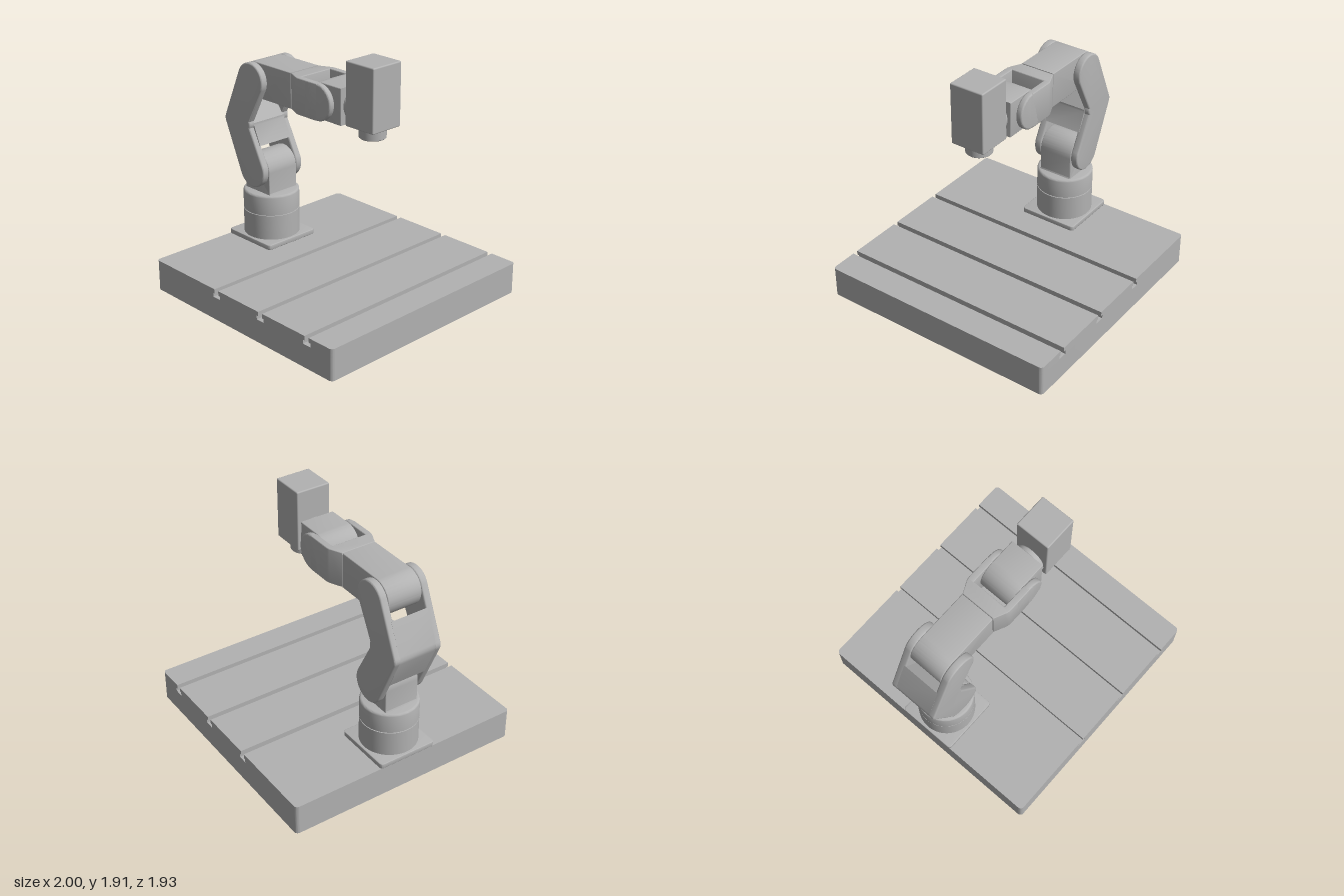
import * as THREE from 'three';
import { toCreasedNormals } from 'three/addons/utils/BufferGeometryUtils.js';
import { RoundedBoxGeometry } from 'three/addons/geometries/RoundedBoxGeometry.js';

const R = 0.14;                 // joint radius
const JX = -0.695;              // x of the base and shoulder axes
const LOW = 0.84, HIGH = 1.56;  // heights of the two joint axes

export function createModel() {
  const root = new THREE.Group();
  const grey = new THREE.MeshStandardMaterial({ color: 0xb2b2b2 });
  grey.name = 'machine grey';

  const add = (name, geometry, parent = root) => {
    const mesh = new THREE.Mesh(geometry, grey);
    mesh.name = name;
    parent.add(mesh);
    return mesh;
  };
  const group = (name) => {
    const g = new THREE.Group();
    g.name = name;
    root.add(g);
    return g;
  };

  // Side profile (x, y) pushed along z, bevelled inside its outline
  const extrudeZ = (shape, z0, z1, bevel = 0) => {
    const g = new THREE.ExtrudeGeometry(shape, {
      depth: z1 - z0 - 2 * bevel, curveSegments: 24, bevelEnabled: bevel > 0,
      bevelSize: bevel, bevelThickness: bevel, bevelOffset: -bevel, bevelSegments: 3,
    });
    g.translate(0, 0, z0 + bevel);
    return toCreasedNormals(g, 0.6);
  };
  // Plan outline (x, z) pushed up along y
  const extrudeY = (shape, y0, y1, bevel = 0) =>
    extrudeZ(shape, y0, y1, bevel).rotateX(-Math.PI / 2);
  const lathe = (pairs) => toCreasedNormals(
    new THREE.LatheGeometry(pairs.map(([r, y]) => new THREE.Vector2(r, y)), 64), 0.6);
  const polygon = (pairs) => new THREE.Shape(pairs.map(([x, y]) => new THREE.Vector2(x, y)));

  // Rectangle with separately rounded left and right corners
  const plan = (x0, x1, h, rl, rr) => {
    const s = new THREE.Shape();
    s.moveTo(x0 + rl, -h);
    s.lineTo(x1 - rr, -h);
    if (rr) s.absarc(x1 - rr, -h + rr, rr, -Math.PI / 2, 0);
    s.lineTo(x1, h - rr);
    if (rr) s.absarc(x1 - rr, h - rr, rr, 0, Math.PI / 2);
    s.lineTo(x0 + rl, h);
    if (rl) s.absarc(x0 + rl, h - rl, rl, Math.PI / 2, Math.PI);
    s.lineTo(x0, -h + rl);
    if (rl) s.absarc(x0 + rl, -h + rl, rl, Math.PI, Math.PI * 1.5);
    return s;
  };

  // Work table with three T-slots
  const table = group('table');
  const slots = [-0.213, 0.272, 0.752];
  add('tableSlab', extrudeY(plan(-0.93, 1, 0.965, 0.03, 0.03), 0, 0.18), table);
  for (const [y0, y1, half] of [[0.18, 0.21, 0.037], [0.21, 0.245, 0.021]]) {
    for (let i = 0; i <= slots.length; i++) {
      const first = i === 0, last = i === slots.length;
      const x0 = first ? -0.93 : slots[i - 1] + half;
      const x1 = last ? 1 : slots[i] - half;
      add('tableStrip', extrudeY(plan(x0, x1, 0.965, first ? 0.03 : 0, last ? 0.03 : 0), y0, y1), table);
    }
  }

  // Foot plate and turning base
  const base = group('turningBase');
  add('footPlate', extrudeY(plan(-0.935, -0.455, 0.24, 0.025, 0.025), 0.245, 0.285, 0.004), base);
  add('baseDrum', lathe([
    [0.22, 0.28], [0.22, 0.484], [0.213, 0.485], [0.213, 0.49], [0.22, 0.491],
    [0.22, 0.632], [0.2175, 0.641], [0.211, 0.6475], [0.202, 0.65], [0, 0.65],
  ]), base).position.x = JX;

  // Neck that carries the lower joint
  const neck = new THREE.Shape();
  neck.moveTo(JX - R - 0.012, 0.645);
  neck.lineTo(JX + R + 0.012, 0.645);
  neck.quadraticCurveTo(JX + R, 0.65, JX + R, 0.668);
  neck.absarc(JX, LOW - 0.01, R, 0, Math.PI);
  neck.lineTo(JX - R, 0.668);
  neck.quadraticCurveTo(JX - R, 0.65, JX - R - 0.012, 0.645);
  add('neck', extrudeZ(neck, -R, R, 0.006), base);

  // Bent link: two cheeks joined by a web at the elbow
  const link = group('bentLink');
  const tilt = 0.414;
  const cheek = new THREE.Shape();
  cheek.absarc(JX, LOW, R, Math.PI + tilt, 2 * Math.PI + tilt);
  cheek.lineTo(-0.712, 1.174);
  cheek.quadraticCurveTo(-0.7, 1.2, -0.712, 1.226);
  cheek.absarc(JX, HIGH, R, -tilt, Math.PI - tilt);
  cheek.lineTo(-0.993, 1.23);
  cheek.quadraticCurveTo(-1.007, 1.2, -0.993, 1.17);
  cheek.closePath();
  add('cheekLeft', extrudeZ(cheek, R, 0.2, 0.012), link);
  add('cheekRight', extrudeZ(cheek, -0.2, -R, 0.012), link);
  add('elbowWeb', extrudeZ(polygon([
    [-0.89, 0.932], [-0.637, 1.04], [-0.704, 1.19], [-0.704, 1.21],
    [-0.89, 1.468], [-0.993, 1.23], [-1, 1.2], [-0.993, 1.17],
  ]), -0.155, 0.155), link);

  // Bar with one round end; the round side is chosen by dir
  const roundBar = (cx, end, dir) => {
    const s = new THREE.Shape();
    const a = dir > 0 ? -Math.PI / 2 : Math.PI / 2;
    s.moveTo(end, HIGH - dir * R);
    s.lineTo(cx, HIGH - dir * R);
    s.absarc(cx, HIGH, R, a, a + Math.PI);
    s.lineTo(end, HIGH + dir * R);
    s.closePath();
    return s;
  };
  add('forearm', extrudeZ(roundBar(JX, -0.294, -1), -R, R, 0.006));

  // Wrist fork
  const fork = group('wristFork');
  const u = new THREE.Shape();
  u.moveTo(-0.29, -R);
  u.lineTo(-0.2, -0.182);
  u.quadraticCurveTo(-0.18, -0.19, -0.155, -0.19);
  for (const [x, z] of [[0.03, -0.19], [0.03, -R], [-0.173, -R], [-0.173, R], [0.03, R], [0.03, 0.19], [-0.155, 0.19]]) u.lineTo(x, z);
  u.quadraticCurveTo(-0.18, 0.19, -0.2, 0.182);
  u.lineTo(-0.29, R);
  u.closePath();
  add('forkBody', extrudeY(u, HIGH - R, HIGH + R, 0.006), fork);
  const prong = roundBar(0.03, -0.1, 1);
  add('prongLeft', extrudeZ(prong, R, 0.19, 0.012), fork);
  add('prongRight', extrudeZ(prong, -0.19, -R, 0.012), fork);

  // Wrist block, flange and tool head
  add('wristBlock', extrudeZ(roundBar(0.03, 0.23, -1), -R, R, 0.006));
  const flange = add('wristFlange', lathe([
    [0, 0.22], [0.112, 0.22], [0.112, 0.232], [0.12, 0.24], [0.12, 0.265], [0.11, 0.268], [0.11, 0.29], [0, 0.29],
  ]));
  flange.rotation.z = -Math.PI / 2;
  flange.position.y = HIGH;
  const head = add('toolHead', new RoundedBoxGeometry(0.275, 0.482, 0.28, 3, 0.01));
  head.position.set(0.413, 1.674, 0);
  add('toolNozzle', lathe([
    [0, 1.425], [0.06, 1.425], [0.06, 1.357], [0.067, 1.35], [0.094, 1.35], [0.1, 1.356], [0.1, 1.44],
  ])).position.x = 0.413;

  return root;
}
